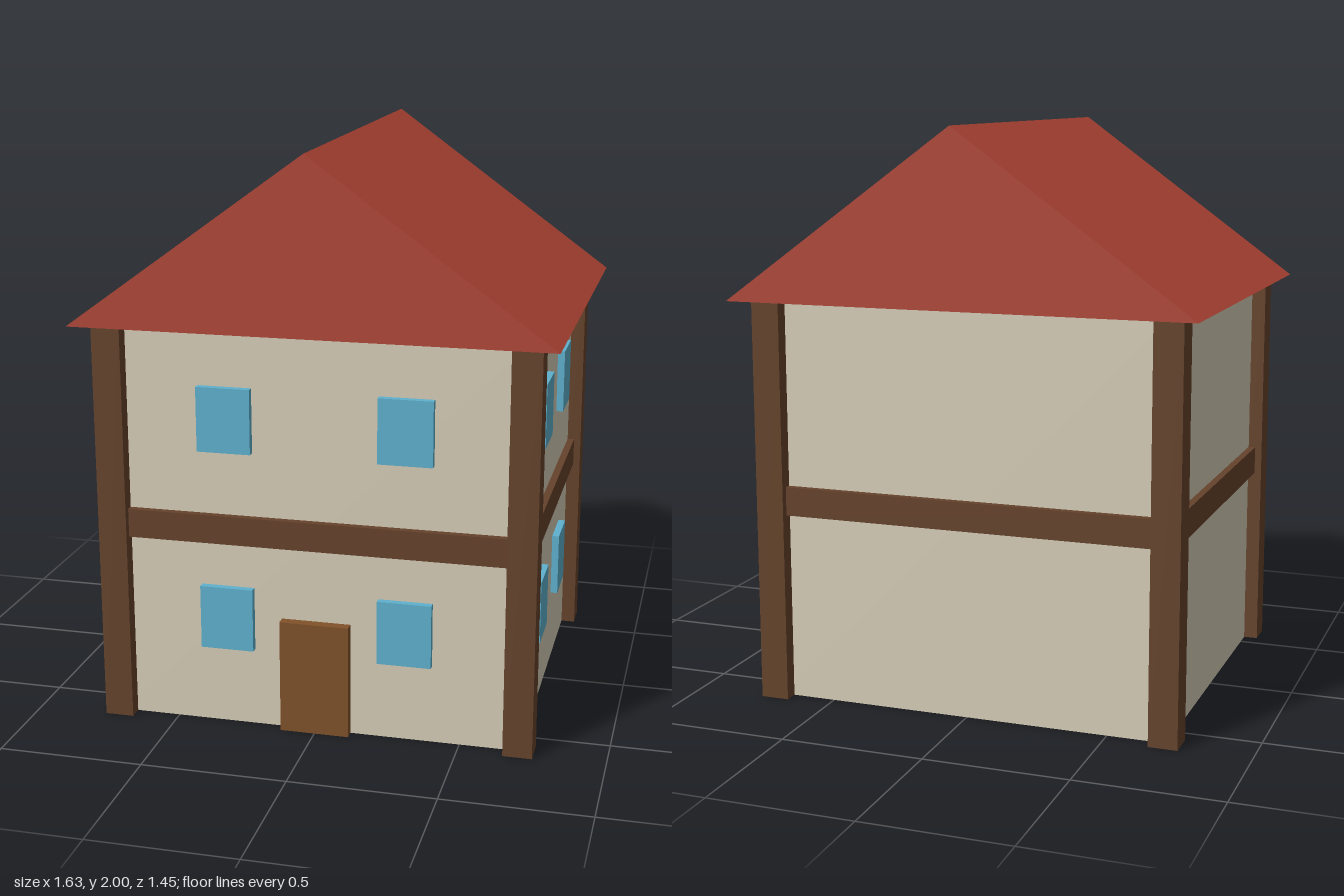
import * as THREE from 'three';

const material = (color) => new THREE.MeshStandardMaterial({ color, flatShading: true });

export function createModel() {
  const house = new THREE.Group();
  house.name = 'house';
  const plaster = material(0xd6cdb7);
  const timber = material(0x65432b);
  const glass = material(0x5fb1ce);
  const doorWood = material(0x80522a);
  const tiles = material(0xb04535);

  const halfX = 0.705, halfZ = 0.61, wallH = 1.41;
  const beamY = 0.71, thick = 0.05, post = 0.1;

  const addBox = (name, mat, size, pos) => {
    const mesh = new THREE.Mesh(new THREE.BoxGeometry(...size), mat);
    mesh.name = name;
    mesh.position.set(...pos);
    house.add(mesh);
    return mesh;
  };

  // Plastered walls
  addBox('walls', plaster, [halfX * 2, wallH, halfZ * 2], [0, wallH / 2, 0]);

  // Corner posts, centred on the wall corners
  for (const sx of [-1, 1])
    for (const sz of [-1, 1])
      addBox('cornerPost', timber, [post, wallH, post], [sx * halfX, wallH / 2, sz * halfZ]);

  // Horizontal beams between the storeys, on all four sides
  for (const s of [-1, 1]) {
    addBox('crossBeam', timber, [halfX * 2 - post, 0.1, thick], [0, beamY, s * halfZ]);
    addBox('sideBeam', timber, [thick, 0.1, halfZ * 2 - post], [s * halfX, beamY, 0]);
  }

  // Windows: two per storey on the front and on the +x side
  for (const y of [0.39, 1.095])
    for (const s of [-1, 1]) {
      addBox('frontWindow', glass, [0.186, 0.224, thick], [s * 0.31, y, halfZ]);
      addBox('sideWindow', glass, [thick, 0.224, 0.186], [halfX, y, s * 0.243]);
    }

  // Front door
  addBox('door', doorWood, [0.24, 0.4, 0.07], [0, 0.2, halfZ]);

  // Gabled roof with overhanging eaves
  const gable = new THREE.Shape([
    new THREE.Vector2(-0.815, wallH),
    new THREE.Vector2(0.815, wallH),
    new THREE.Vector2(0, 2),
  ]);
  const roofDepth = 1.45;
  const roof = new THREE.Mesh(
    new THREE.ExtrudeGeometry(gable, { depth: roofDepth, bevelEnabled: false }),
    tiles
  );
  roof.name = 'roof';
  roof.position.z = -roofDepth / 2;
  house.add(roof);

  return house;
}
